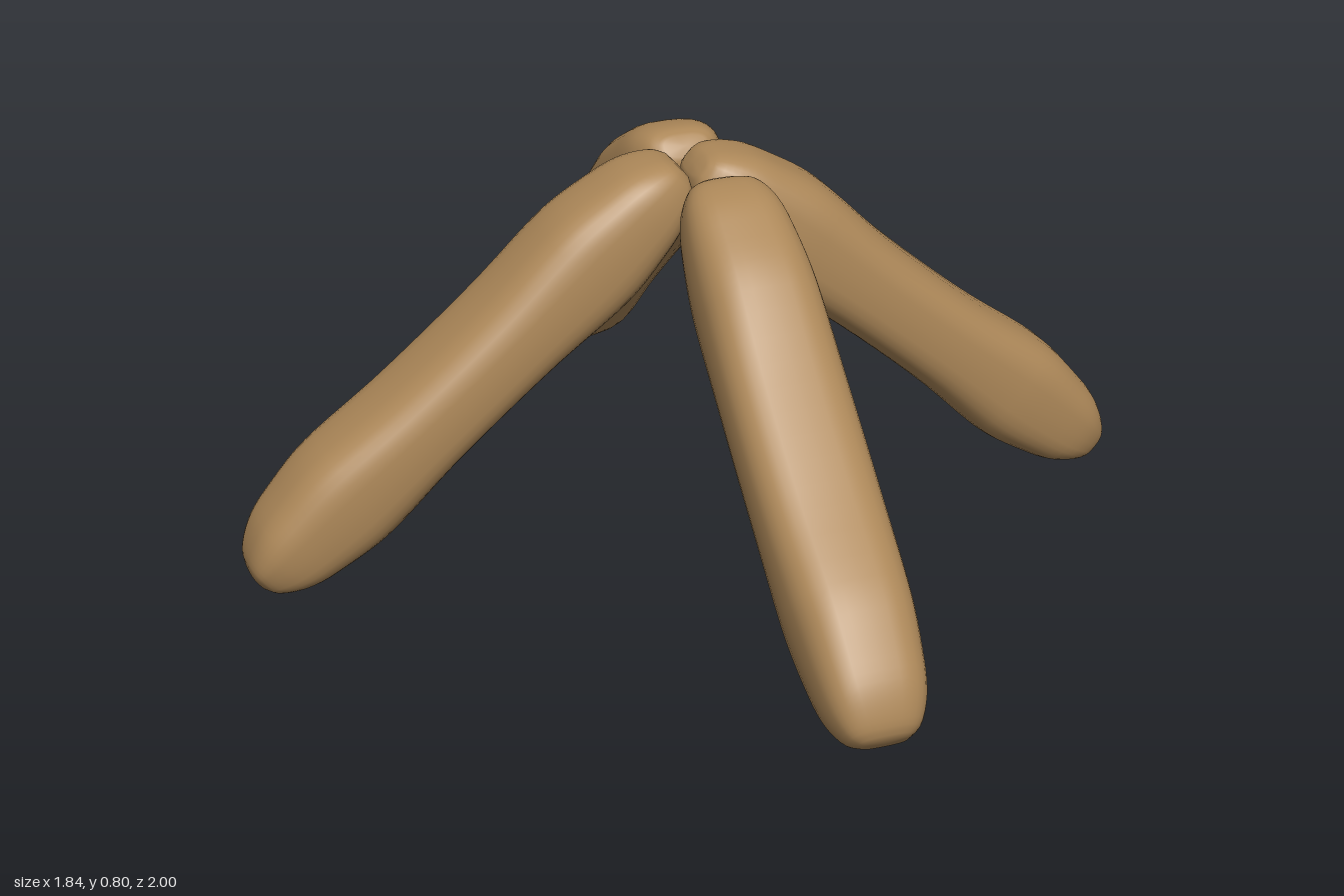
import * as THREE from 'three';

const TILT = 0.706; // slope of every leg, in radians
const SIDES = 32;

// Half of the log profile: distance from the middle, half thickness, half width
const HALF = [
  [0, 0.098, 0.122], [0.15, 0.101, 0.121], [0.3, 0.113, 0.118], [0.36, 0.112, 0.115],
  [0.43, 0.101, 0.109], [0.49, 0.088, 0.101], [0.53, 0.07, 0.09], [0.565, 0.045, 0.07], [0.58, 0.022, 0.045],
];

// Soft-boxed log along x, slightly pinched in the middle, with rounded ends
function logGeometry() {
  const mirrored = HALF.slice(1).reverse().map(([s, t, w]) => [-s, t, w]);
  const profile = [...mirrored, ...HALF].map((p) => new THREE.Vector3(...p));
  const stations = new THREE.CatmullRomCurve3(profile).getPoints(48);
  const round = (v) => Math.sign(v) * Math.abs(v) ** 0.7;
  const pos = [];
  const index = [];
  for (const p of stations) {
    for (let j = 0; j < SIDES; j++) {
      const a = (j / SIDES) * Math.PI * 2;
      pos.push(p.x, p.y * round(Math.cos(a)), p.z * round(Math.sin(a)));
    }
  }
  const last = stations.length - 1;
  const startCentre = stations.length * SIDES;
  pos.push(stations[0].x - 0.002, 0, 0, stations[last].x + 0.002, 0, 0);
  for (let j = 0; j < SIDES; j++) {
    const k = (j + 1) % SIDES;
    for (let i = 0; i < last; i++) {
      const a = i * SIDES + j, b = i * SIDES + k;
      index.push(a, b, b + SIDES, a, b + SIDES, a + SIDES);
    }
    index.push(startCentre, k, j);
    index.push(startCentre + 1, last * SIDES + j, last * SIDES + k);
  }
  const geo = new THREE.BufferGeometry();
  geo.setAttribute('position', new THREE.Float32BufferAttribute(pos, 3));
  geo.setIndex(index);
  geo.computeVertexNormals();
  return geo;
}

export function createModel() {
  const group = new THREE.Group();
  group.name = 'leaningLogs';
  const wood = new THREE.MeshStandardMaterial({ color: 0xad8859 });
  wood.name = 'wood';
  const geo = logGeometry();
  geo.rotateZ(-TILT); // outer end down

  // Four logs leaning together, each slightly off the centre line
  const legs = [
    ['leftLog', 0.46, -0.016, 0],
    ['backLog', 0.03, -0.54, Math.PI / 2],
    ['rightLog', -0.46, -0.012, Math.PI],
    ['frontLog', 0.03, 0.54, -Math.PI / 2],
  ];
  for (const [name, x, z, turn] of legs) {
    const leg = new THREE.Mesh(geo, wood);
    leg.name = name;
    leg.position.set(x, 0.4025, z);
    leg.rotation.y = turn;
    group.add(leg);
  }
  return group;
}
